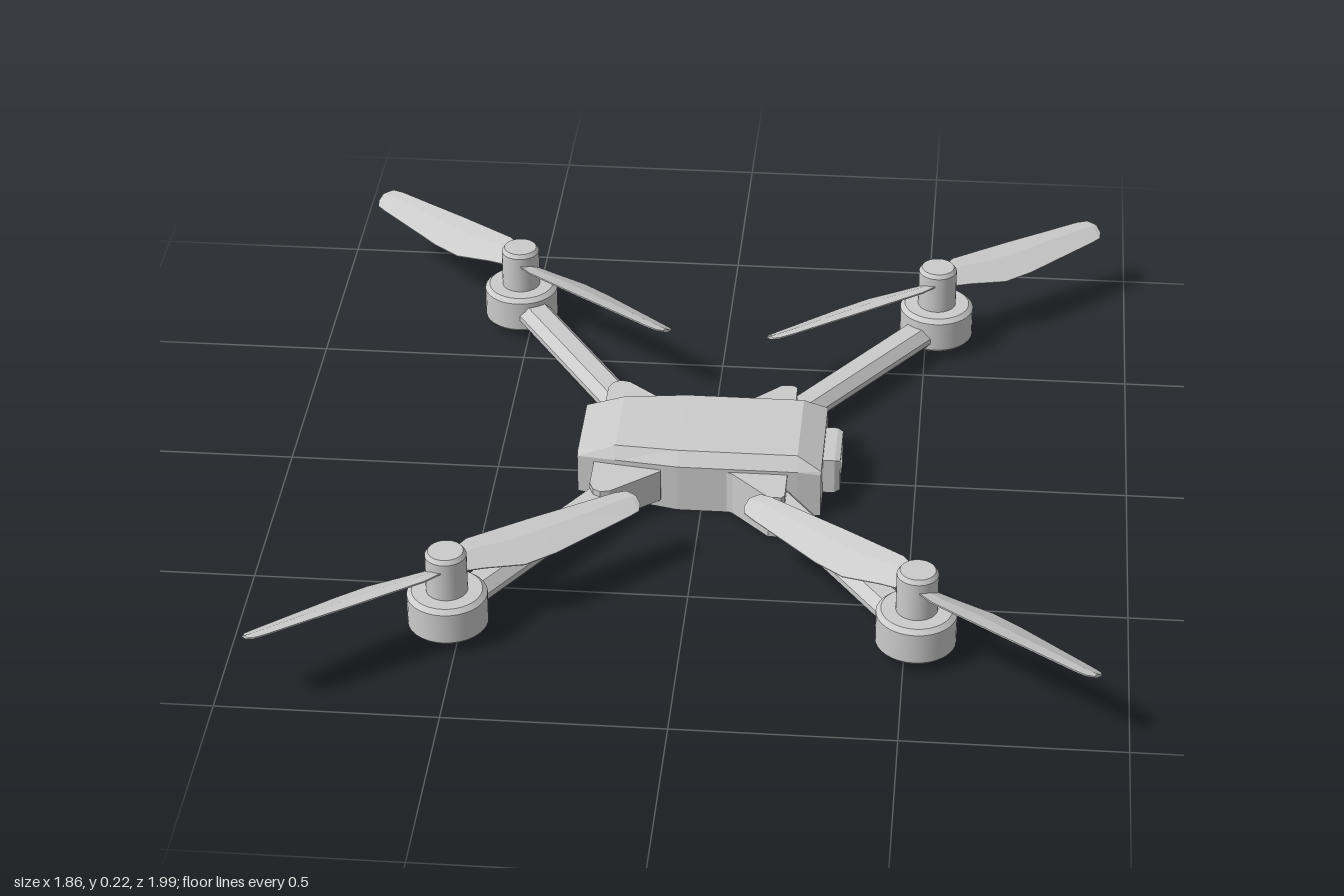
import * as THREE from 'three';

const mat = new THREE.MeshStandardMaterial({ color: 0xcccccc, flatShading: true });
const smoothMat = new THREE.MeshStandardMaterial({ color: 0xcccccc });

// Closed solid from matching rings of [x, y, z]; turned outward by its signed volume
function loft(rings) {
  const tris = [];
  const n = rings[0].length;
  for (let i = 0; i < rings.length - 1; i++) {
    for (let j = 0; j < n; j++) {
      const k = (j + 1) % n;
      const [a, b, c, d] = [rings[i][j], rings[i][k], rings[i + 1][k], rings[i + 1][j]];
      tris.push([a, b, c], [a, c, d]);
    }
  }
  const first = rings[0], last = rings[rings.length - 1];
  for (let j = 1; j < n - 1; j++) {
    tris.push([first[0], first[j + 1], first[j]], [last[0], last[j], last[j + 1]]);
  }
  let volume = 0;
  for (const [a, b, c] of tris) {
    volume += new THREE.Vector3(...a).dot(new THREE.Vector3(...b).cross(new THREE.Vector3(...c)));
  }
  if (volume < 0) tris.forEach((t) => t.reverse());
  const geo = new THREE.BufferGeometry();
  geo.setAttribute('position', new THREE.Float32BufferAttribute(tris.flat(2), 3));
  geo.computeVertexNormals();
  return geo;
}

function add(parent, name, geo, material = mat) {
  const mesh = new THREE.Mesh(geo, material);
  mesh.name = name;
  parent.add(mesh);
  return mesh;
}

// Lathe with hard edges: every profile corner is doubled
function turned(points) {
  const pts = [];
  points.forEach(([r, y], i) => {
    const p = new THREE.Vector2(r, y);
    pts.push(p);
    if (i > 0 && i < points.length - 1) pts.push(p.clone());
  });
  const pieces = new THREE.Group();
  for (let i = 0; i < pts.length; i += 2) {
    add(pieces, 'turnedFace', new THREE.LatheGeometry([pts[i], pts[i + 1]], 32), smoothMat);
  }
  return pieces;
}

function bodyGeometry() {
  // x, bottom y, shoulder y, top y, half width, top half width
  const stations = [
    [-0.29, 0.018, 0.115, 0.125, 0.112, 0.098],
    [-0.2, 0.01, 0.118, 0.147, 0.127, 0.107],
    [-0.05, 0, 0.12, 0.15, 0.148, 0.122],
    [0.23, 0, 0.12, 0.15, 0.148, 0.122],
    [0.287, 0, 0.112, 0.12, 0.144, 0.14],
  ];
  return loft(stations.map(([x, b, s, t, w, tw]) => [
    [x, b, -w], [x, b, w], [x, s, w], [x, t, tw], [x, t, -tw], [x, s, -w],
  ]));
}

function cameraGeometry() {
  // x, half height, half width; the last two rings sink the lens window
  const stations = [
    [0.27, 0.045, 0.072], [0.315, 0.045, 0.072], [0.328, 0.04, 0.065],
    [0.328, 0.032, 0.054], [0.322, 0.032, 0.054],
  ];
  return loft(stations.map(([x, h, w]) => [
    [x, 0.063 - h, -w], [x, 0.063 - h, w], [x, 0.063 + h, w], [x, 0.063 + h, -w],
  ]));
}

// Hinge block: plan outline raised between two heights
function hinge(outline, sz, y0, y1) {
  return loft([y0, y1].map((y) => outline.map(([x, z]) => [x, y, z * sz])));
}

// Straight arm with bevelled top edges
function armGeometry(from, to, y) {
  const a = new THREE.Vector2(...from), b = new THREE.Vector2(...to);
  const d = b.clone().sub(a).normalize();
  const section = [[-0.034, 0], [0.034, 0], [0.043, 0.012], [0.043, 0.026], [0.022, 0.048],
    [-0.022, 0.048], [-0.043, 0.026], [-0.043, 0.012]];
  return loft([a, b].map((p) => section.map(([s, h]) => [p.x - d.y * s, y + h, p.y + d.x * s])));
}

// Pitched blade: straight raised leading edge, bulging lower trailing edge
function bladeGeometry(turn, sx, sz) {
  const angle = THREE.MathUtils.degToRad(36.8);
  const cos = Math.cos(angle), sin = Math.sin(angle);
  // radius, leading edge, trailing edge
  const stations = [
    [0.02, -0.03, 0.02], [0.08, -0.049, 0.032], [0.17, -0.047, 0.056], [0.25, -0.045, 0.054],
    [0.35, -0.041, 0.042], [0.46, -0.037, 0.029], [0.488, -0.032, 0.024], [0.5, -0.018, 0.01],
  ];
  return loft(stations.map(([r, lead, trail]) => {
    const at = (c, lift) => [
      turn * sx * (r * cos + c * sin), 0.172 - 0.4 * c + lift, turn * sz * (r * sin - c * cos),
    ];
    const mid = lead * 0.6 + trail * 0.4;
    return [at(lead, -0.002), at(lead, 0.002), at(mid, 0.007), at(trail, 0.001), at(trail, -0.001), at(mid, -0.004)];
  }));
}

export function createModel() {
  const model = new THREE.Group();
  model.name = 'quadcopter';
  add(model, 'body', bodyGeometry());
  add(model, 'camera', cameraGeometry());

  const noseHinge = [[0.05, 0.06], [0.05, 0.14], [0.08, 0.155], [0.17, 0.245], [0.2, 0.245],
    [0.208, 0.235], [0.208, 0.06]];
  const tailHinge = [[-0.25, 0.06], [-0.25, 0.21], [-0.24, 0.235], [-0.222, 0.245], [-0.2, 0.24],
    [-0.09, 0.148], [-0.09, 0.06]];

  for (const sx of [1, -1]) {
    for (const sz of [1, -1]) {
      const corner = new THREE.Group();
      corner.name = (sz > 0 ? 'front' : 'back') + (sx > 0 ? 'Left' : 'Right') + 'Corner';
      model.add(corner);
      const nose = sx > 0;
      const hub = nose ? [0.53, 0.663 * sz] : [-0.52, 0.675 * sz];
      const root = nose ? [0.165, 0.15 * sz] : [-0.185, 0.15 * sz];
      add(corner, 'hinge', nose ? hinge(noseHinge, sz, 0.002, 0.112) : hinge(tailHinge, sz, 0.025, 0.106));
      add(corner, 'arm', armGeometry(root, hub, nose ? 0.035 : 0.043));

      // Motor pod, shaft and two blades
      const motor = new THREE.Group();
      motor.name = 'motor';
      motor.position.set(hub[0], 0, hub[1]);
      corner.add(motor);
      const pod = turned([[0, 0.022], [0.084, 0.022], [0.091, 0.03], [0.091, 0.104], [0.08, 0.114], [0, 0.114]]);
      pod.name = 'motorPod';
      const shaft = turned([[0.047, 0.11], [0.047, 0.208], [0.04, 0.218], [0, 0.218]]);
      shaft.name = 'rotorShaft';
      motor.add(pod, shaft);
      for (const turn of [1, -1]) add(motor, 'rotorBlade', bladeGeometry(turn, -sx, -sz));
    }
  }

  // Stand on the ground, centred
  const box = new THREE.Box3().setFromObject(model);
  const centre = box.getCenter(new THREE.Vector3());
  model.children.forEach((part) => part.position.set(-centre.x, -box.min.y, -centre.z));
  return model;
}
